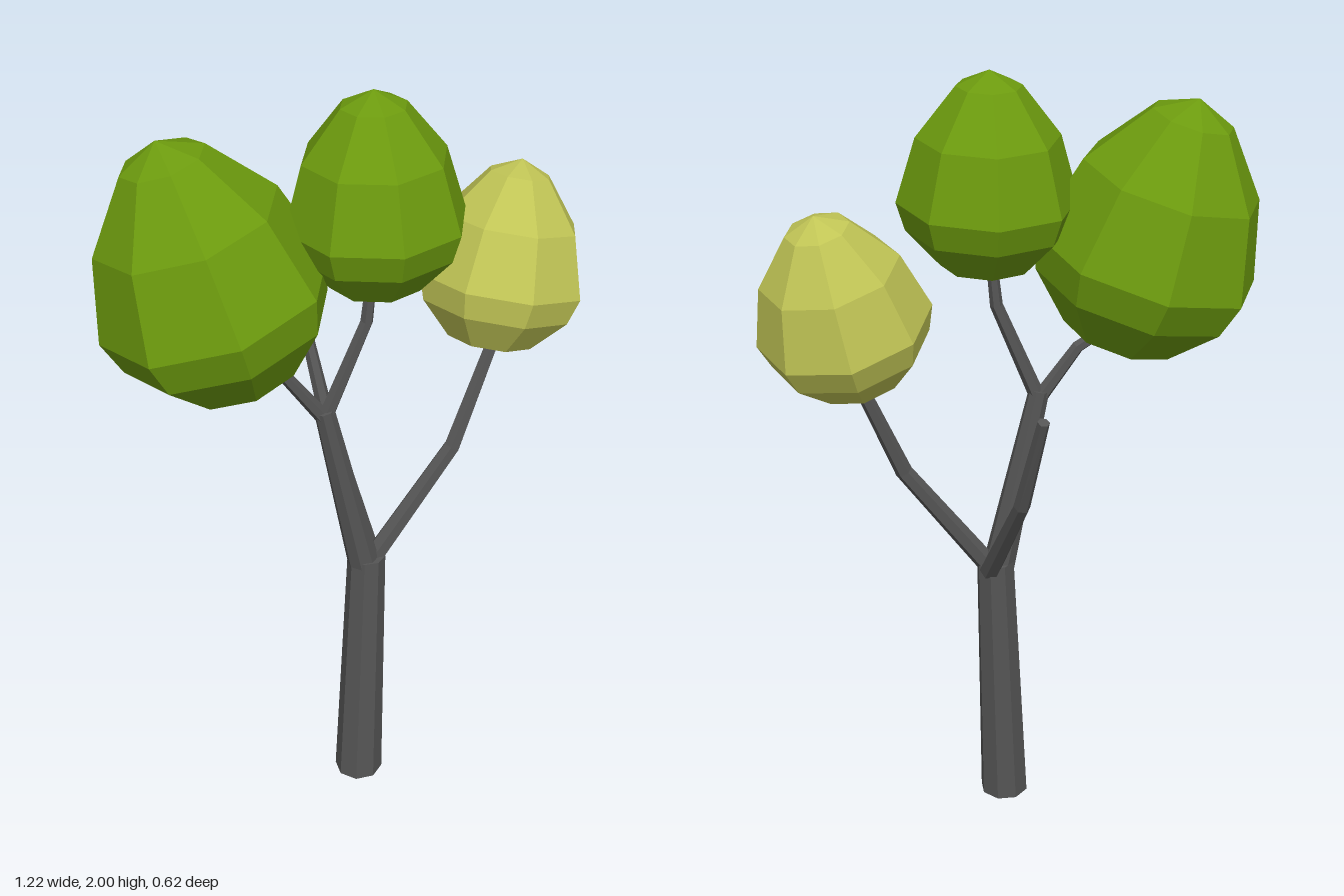
import * as THREE from 'three';

const bark = new THREE.MeshStandardMaterial({ name: 'bark grey', color: 0x555555, flatShading: true });
const green = new THREE.MeshStandardMaterial({ name: 'leaf green', color: 0x6c9a0e, flatShading: true });
const yellow = new THREE.MeshStandardMaterial({ name: 'leaf yellow', color: 0xc0c455, flatShading: true });

const UP = new THREE.Vector3(0, 1, 0);

// Tapered limb: a capped cylinder whose rings are moved onto a bent path.
// Each path entry is [x, y, z, radius].
function limb(name, path, sides = 8) {
  const n = path.length - 1;
  const points = path.map(p => new THREE.Vector3(p[0], p[1], p[2]));
  const turns = points.map((p, i) => {
    const dir = new THREE.Vector3();
    if (i > 0) dir.add(p.clone().sub(points[i - 1]).normalize());
    if (i < n) dir.add(points[i + 1].clone().sub(p).normalize());
    if (i === 0 && p.y === 0) dir.copy(UP); // base sits flat on the ground
    return new THREE.Quaternion().setFromUnitVectors(UP, dir.normalize());
  });
  const geo = new THREE.CylinderGeometry(1, 1, n, sides, n);
  geo.rotateY(Math.PI / sides);
  const pos = geo.attributes.position;
  const v = new THREE.Vector3();
  for (let k = 0; k < pos.count; k++) {
    v.fromBufferAttribute(pos, k);
    const i = Math.round(v.y + n / 2);
    v.y = 0;
    v.multiplyScalar(path[i][3]).applyQuaternion(turns[i]).add(points[i]);
    pos.setXYZ(k, v.x, v.y, v.z);
  }
  geo.computeVertexNormals();
  const mesh = new THREE.Mesh(geo, bark);
  mesh.name = name;
  return mesh;
}

// Crown profile from base to tip: radius and height as fractions of the whole
const PROFILE = [[0, 0], [0.52, 0.035], [0.9, 0.22], [1, 0.36], [0.79, 0.68], [0.36, 0.925], [0, 1]]
  .map(([r, h]) => new THREE.Vector2(r, h));

// Egg-shaped eight-sided crown between a base point and a tip point
function crown(name, base, tip, radius, material) {
  const a = new THREE.Vector3(...base);
  const axis = new THREE.Vector3(...tip).sub(a);
  const geo = new THREE.LatheGeometry(PROFILE, 8);
  geo.scale(radius, axis.length(), radius);
  const mesh = new THREE.Mesh(geo, material);
  mesh.name = name;
  mesh.position.copy(a);
  mesh.quaternion.setFromUnitVectors(UP, axis.normalize());
  return mesh;
}

export function createModel() {
  const tree = new THREE.Group();
  tree.name = 'tree';

  // Trunk and branches
  tree.add(
    limb('trunk', [[0.005, 0, 0.04, 0.064], [0.028, 0.72, 0.03, 0.049]]),
    limb('mainFork', [[0.022, 0.69, 0.032, 0.042], [-0.085, 1.19, 0.04, 0.026]]),
    limb('leftTwig', [[-0.08, 1.16, 0.04, 0.02], [-0.18, 1.3, 0.04, 0.016], [-0.32, 1.39, 0.04, 0.013]], 6),
    limb('middleTwig', [[-0.085, 1.16, 0.04, 0.02], [0.022, 1.42, 0.04, 0.016], [0.036, 1.56, 0.04, 0.013]], 6),
    limb('rightBranch', [[0.04, 0.7, 0.03, 0.027], [0.26, 1.0, 0.01, 0.022], [0.39, 1.32, -0.03, 0.016]], 6),
    limb('backBranch', [[0.045, 0.7, 0.01, 0.027], [-0.008, 0.99, -0.2, 0.021], [-0.045, 1.255, -0.295, 0.015]], 6),
  );

  // Leaf crowns
  tree.add(
    crown('leftCrown', [-0.28, 1.31, 0.045], [-0.45, 1.925, -0.005], 0.283, green),
    crown('middleCrown', [0.045, 1.51, 0.045], [0.038, 2, 0.03], 0.218, green),
    crown('rightCrown', [0.36, 1.262, -0.03], [0.458, 1.715, -0.11], 0.213, yellow),
  );
  return tree;
}
